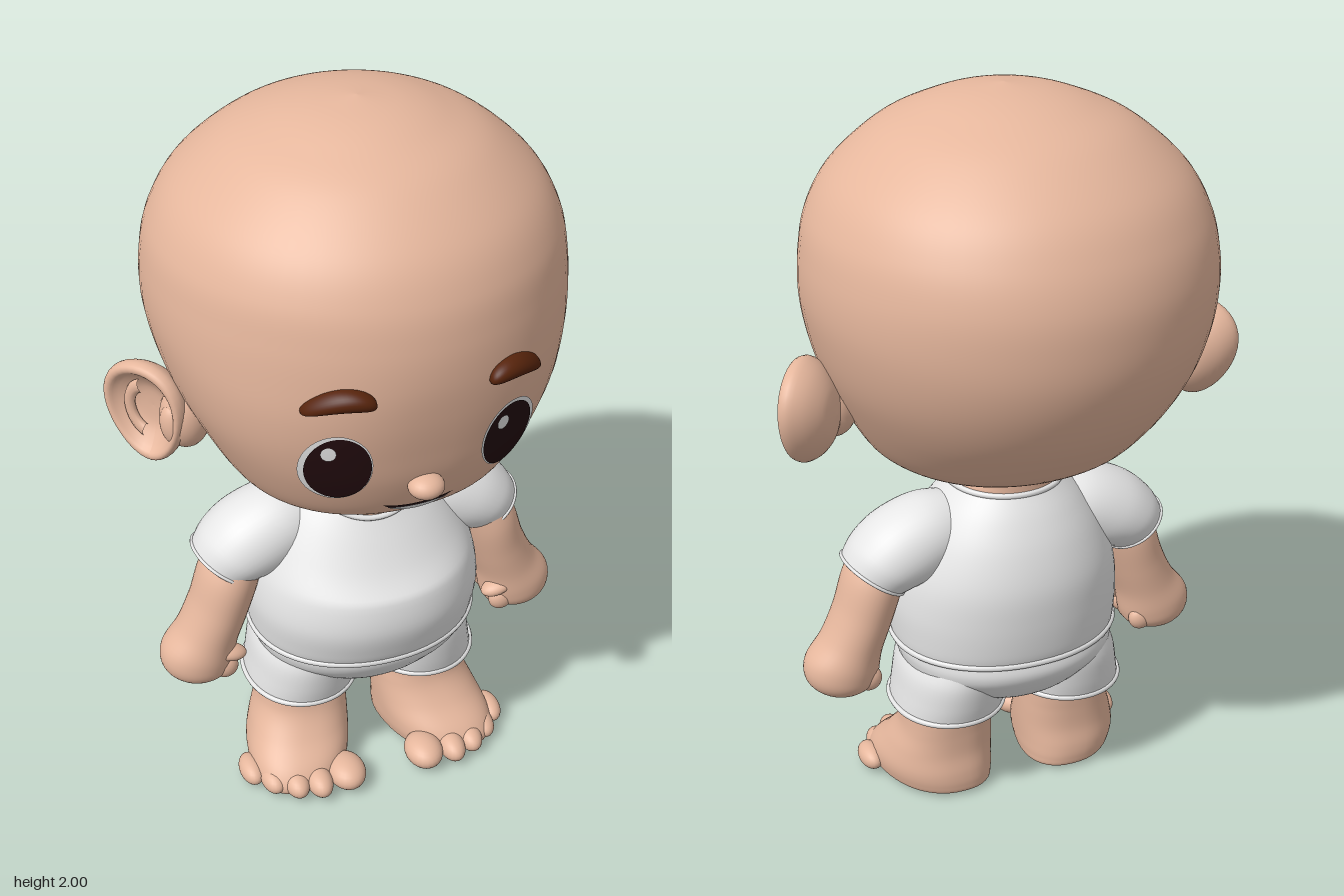
import * as THREE from 'three';

const mat = (name, color) => Object.assign(new THREE.MeshStandardMaterial({ color }), { name });

// Catmull-Rom interpolation of rows of numbers
function smooth(rows, steps) {
  const out = [], at = i => rows[Math.max(0, Math.min(rows.length - 1, i))];
  for (let i = 0; i < rows.length - 1; i++) {
    for (let s = 0; s < steps; s++) {
      const t = s / steps;
      out.push(rows[i].map((b, k) => {
        const a = at(i - 1)[k], c = at(i + 1)[k], d = at(i + 2)[k];
        return 0.5 * (2 * b + (c - a) * t + (2 * a - 5 * b + 4 * c - d) * t * t + (3 * b - a - 3 * c + d) * t * t * t);
      }));
    }
  }
  out.push(rows[rows.length - 1]);
  return out;
}

// Closed skin over cross-sections; place(row, angle) gives a point
function loft(rows, place, seg = 48, steps = 6) {
  const pos = [], idx = [], all = smooth(rows, steps);
  const ring = row => {
    const start = pos.length / 3;
    for (let j = 0; j < seg; j++) pos.push(...place(row, j / seg * Math.PI * 2).toArray());
    return start;
  };
  all.forEach(ring);
  for (let i = 0; i < all.length - 1; i++) {
    for (let j = 0; j < seg; j++) {
      const a = i * seg + j, b = i * seg + (j + 1) % seg;
      idx.push(a, a + seg, b, b, a + seg, b + seg);
    }
  }
  [all[0], all[all.length - 1]].forEach((row, end) => {
    const s = ring(row), c = pos.length / 3;
    const mid = place(row, 0).add(place(row, Math.PI)).multiplyScalar(0.5);
    pos.push(...mid.toArray());
    for (let j = 0; j < seg; j++) {
      const a = s + j, b = s + (j + 1) % seg;
      if (end) idx.push(c, b, a); else idx.push(c, a, b);
    }
  });
  const g = new THREE.BufferGeometry();
  g.setAttribute('position', new THREE.Float32BufferAttribute(pos, 3));
  g.setIndex(idx);
  g.computeVertexNormals();
  return g;
}

// Upright sections: row = [y, centre x, half width, front z, back z, optional squareness of the front]
const upright = (p = 2, bend = v => v) => ([y, cx, w, zf, zb, front = p], a) => {
  const c = Math.cos(a), s = Math.sin(a), e = 2 / (s > 0 ? front : p);
  return bend(new THREE.Vector3(
    cx + w * Math.sign(c) * Math.abs(c) ** e, y,
    (zf + zb) / 2 + (zf - zb) / 2 * Math.sign(s) * Math.abs(s) ** e));
};
// Limb sections: row = [x, y, radius across, radius in z, angle from straight down]
const limb = zc => ([x, y, r, rz, t], a) => new THREE.Vector3(
  x + r * Math.cos(a) * Math.cos(t), y + r * Math.cos(a) * Math.sin(t), zc - rz * Math.sin(a));

// Rolled edge following one cross-section
function hem(row, place, r) {
  const pts = Array.from({ length: 40 }, (_, i) => place(row, -i / 40 * Math.PI * 2));
  return new THREE.TubeGeometry(new THREE.CatmullRomCurve3(pts, true), 80, r, 8, true);
}
const ball = (x, y, z, rx, ry, rz) => new THREE.SphereGeometry(1, 24, 16).scale(rx, ry, rz).translate(x, y, z);

function warp(g, fn) {
  const p = g.attributes.position, v = new THREE.Vector3();
  for (let i = 0; i < p.count; i++) {
    fn(v.fromBufferAttribute(p, i));
    p.setXYZ(i, v.x, v.y, v.z);
  }
  g.computeVertexNormals();
  return g;
}
function mirrored(g) {
  const m = g.clone().scale(-1, 1, 1), ix = m.index.array;
  for (let i = 0; i < ix.length; i += 3) [ix[i], ix[i + 1]] = [ix[i + 1], ix[i]];
  return m;
}

export function createModel() {
  const model = new THREE.Group();
  const skin = mat('skin', 0xe6b79d), cloth = mat('white cloth', 0xe6e6e6), dark = mat('dark eye', 0x220b0e);
  const brown = mat('brow brown', 0x57240c), white = mat('eye white', 0xe8e8e8);
  const add = (name, g, m) => {
    const mesh = new THREE.Mesh(g, m);
    mesh.name = name;
    model.add(mesh);
  };
  const pair = (name, g, m) => {
    add(name + 'Left', g, m);
    add(name + 'Right', mirrored(g), m);
  };

  // Head: round on top, a little flatter across the face
  const headRows = [
    [0.963, 0, 0.002, 0.06, 0.056, 2], [0.967, 0, 0.12, 0.17, -0.06, 2], [0.98, 0, 0.2, 0.24, -0.13, 2.1],
    [1.005, 0, 0.27, 0.315, -0.2, 2.15], [1.05, 0, 0.34, 0.395, -0.285, 2.2], [1.1, 0, 0.382, 0.442, -0.35, 2.25],
    [1.2, 0, 0.437, 0.486, -0.442, 2.3], [1.3, 0, 0.483, 0.511, -0.503, 2.3], [1.4, 0, 0.513, 0.53, -0.54, 2.2],
    [1.5, 0, 0.53, 0.54, -0.553, 2.05], [1.6, 0, 0.527, 0.535, -0.548, 2], [1.7, 0, 0.505, 0.512, -0.515, 2],
    [1.8, 0, 0.447, 0.455, -0.45, 2], [1.9, 0, 0.333, 0.345, -0.33, 2], [1.955, 0, 0.22, 0.235, -0.21, 2],
    [1.985, 0, 0.12, 0.14, -0.1, 2], [2.0, 0, 0.002, 0.022, 0.018, 2]];
  const fine = smooth(headRows, 8);
  add('head', loft(headRows, upright(2), 72, 8), skin);
  // Depth of the face surface at x, y
  const faceZ = (x, y) => {
    const i = Math.max(1, fine.findIndex(r => r[0] >= y)), a = fine[i - 1], b = fine[i];
    const [, , w, zf, zb, p] = a.map((v, k) => v + (b[k] - v) * (y - a[0]) / (b[0] - a[0]));
    return (zf + zb) / 2 + (zf - zb) / 2 * Math.max(0, 1 - Math.abs(x / w) ** p) ** (1 / p);
  };
  const patch = (cx, cy, rx, ry, lift) => warp(new THREE.RingGeometry(0.001, 1, 48, 8), v => {
    v.set(cx + v.x * rx, cy + v.y * ry, 0);
    v.z = faceZ(v.x, v.y) + lift + 0.05 * (1.385 - v.y);
  });

  // Eyes
  pair('eyeWhite', patch(0.221, 1.281, 0.082, 0.105, 0.004), white);
  pair('pupil', patch(0.217, 1.281, 0.074, 0.099, 0.007), dark);
  for (const x of [0.192, -0.243]) add('eyeGlint', patch(x, 1.334, 0.017, 0.021, 0.01), white);

  // Brows: arched pads with blunt ends
  pair('brow', warp(new THREE.SphereGeometry(1, 32, 24).rotateZ(Math.PI / 2), v => {
    const u = v.x, full = (1 - u * u + 0.02) ** -0.15;
    const x = 0.221 + 0.08 * u, y = 1.493 - 0.024 * (u + 0.3) ** 2 + v.y * full * (0.027 - 0.004 * u);
    v.set(x, y, faceZ(x, y) + 0.004 + 0.036 * v.z * full);
  }), brown);

  // Nose and mouth
  add('nose', ball(0, 1.192, 0.497, 0.046, 0.031, 0.043), skin);
  const smile = (half, y0, top, bottom, lift) => warp(new THREE.PlaneGeometry(2, 1, 28, 3), v => {
    const k = 1 - v.x * v.x, t = 0.5 - v.y;
    v.set(v.x * half, y0 - k * (top + (bottom - top) * t), 0);
    v.z = faceZ(v.x, v.y) + lift;
  });
  add('mouth', smile(0.092, 1.123, 0.014, 0.042, 0.004), dark);
  add('teeth', smile(0.08, 1.113, 0.009, 0.029, 0.007), white);

  // Ears: thick egg-shaped bowl with inner ridge and front bump, turned to the side
  const setEar = g => g.rotateZ(-0.12).rotateY(0.9).translate(0.55, 1.224, 0);
  const profile = new THREE.SplineCurve([
    [0, -0.95], [0.45, -0.85], [0.8, -0.5], [0.99, -0.05], [0.96, 0.26], [0.84, 0.3], [0.7, 0.08], [0.4, -0.2], [0, -0.26],
  ].map(p => new THREE.Vector2(...p))).getPoints(32);
  profile.forEach(p => { p.x = Math.max(0, p.x); });
  pair('ear', setEar(warp(new THREE.LatheGeometry(profile, 40).rotateX(Math.PI / 2), v => {
    v.set(v.x * 0.118 * (1 + 0.2 * v.y), v.y * 0.142, v.z * 0.09);
  })), skin);
  pair('earRidge', setEar(new THREE.TorusGeometry(0.055, 0.015, 10, 28, 2.6).rotateZ(-1.2).scale(1, 1.25, 0.8)), skin);
  pair('earBump', setEar(ball(-0.075, -0.025, 0.005, 0.034, 0.055, 0.026)), skin);
  pair('earRoot', ball(0.465, 1.215, 0.04, 0.065, 0.09, 0.065), skin);

  // Neck and shirt; the neckline dips at the front
  const dip = v => {
    if (v.z > 0) v.y -= 1.5 * v.z * v.z * Math.max(0, 1 - Math.abs(v.y - 0.94) / 0.25);
    return v;
  };
  const torso = upright(2.1, dip);
  add('neck', loft([[0.915, 0, 0.153, 0.197, -0.127], [0.946, 0, 0.151, 0.192, -0.127],
    [0.97, 0, 0.138, 0.162, -0.128], [1.04, 0, 0.13, 0.15, -0.13]], torso), skin);
  const shirtRows = [[0.47, 0, 0.312, 0.308, -0.222], [0.51, 0, 0.318, 0.325, -0.232], [0.6, 0, 0.322, 0.345, -0.24],
    [0.7, 0, 0.305, 0.328, -0.238], [0.8, 0, 0.262, 0.282, -0.211], [0.88, 0, 0.21, 0.24, -0.172],
    [0.94, 0, 0.155, 0.2, -0.13]];
  add('shirt', loft(shirtRows, torso, 64), cloth);
  add('collar', hem(shirtRows[6], torso, 0.008), cloth);
  add('shirtHem', hem([0.477, 0, 0.314, 0.311, -0.224], torso, 0.009), cloth);

  // Sleeves, arms and fists
  const sleeveRows = [[0.1, 0.8, 0.1, 0.09, 1.5], [0.2, 0.81, 0.112, 0.118, 1.25], [0.287, 0.78, 0.118, 0.13, 0.95],
    [0.347, 0.745, 0.108, 0.126, 0.7], [0.383, 0.712, 0.094, 0.11, 0.6]];
  pair('sleeve', loft(sleeveRows, limb(0.02), 40), cloth);
  pair('sleeveHem', hem(sleeveRows[4], limb(0.02), 0.005), cloth);
  pair('arm', loft([[0.33, 0.77, 0.065, 0.08, 0.6], [0.376, 0.68, 0.082, 0.1, 0.5], [0.41, 0.58, 0.081, 0.098, 0.4],
    [0.443, 0.5, 0.086, 0.095, 0.33], [0.472, 0.435, 0.104, 0.097, 0.28], [0.48, 0.39, 0.094, 0.088, 0.15],
    [0.477, 0.36, 0.055, 0.055, 0.05], [0.475, 0.35, 0.002, 0.002, 0]], limb(0.043), 40), skin);
  pair('thumb', ball(0, 0, 0, 0.048, 0.022, 0.032).rotateZ(0.25).translate(0.398, 0.448, 0.1), skin);
  for (let i = 0; i < 4; i++) pair('finger', ball(0.412, 0.402, 0.1 - i * 0.036, 0.036, 0.036, 0.026), skin);

  // Shorts
  add('shortsSeat', loft([[0.288, 0, 0.01, 0.04, 0.02], [0.3, 0, 0.1, 0.13, -0.09], [0.34, 0, 0.2, 0.22, -0.165],
    [0.4, 0, 0.285, 0.272, -0.213], [0.44, 0, 0.305, 0.295, -0.228], [0.48, 0, 0.308, 0.3, -0.22]], upright(2.15), 64), cloth);
  const cuff = [0.277, 0.177, 0.155, 0.205, -0.152];
  pair('shortsLeg', loft([cuff, [0.33, 0.172, 0.15, 0.216, -0.165], [0.4, 0.164, 0.143, 0.225, -0.175],
    [0.46, 0.15, 0.125, 0.225, -0.17]], upright(2.1)), cloth);
  pair('shortsHem', hem([0.281, ...cuff.slice(1)], upright(2.1), 0.008), cloth);

  // Legs and feet with softly rounded soles, turned slightly outward
  const turnOut = v => {
    v.x += 0.22 * v.z * Math.max(0, 1 - v.y / 0.2);
    return v;
  };
  pair('legAndFoot', loft([[0, 0.185, 0.002, 0.092, 0.088], [0.003, 0.185, 0.09, 0.2, -0.04],
    [0.009, 0.187, 0.135, 0.262, -0.086], [0.035, 0.191, 0.147, 0.277, -0.096],
    [0.075, 0.193, 0.149, 0.255, -0.096], [0.13, 0.188, 0.142, 0.2, -0.088], [0.19, 0.18, 0.131, 0.16, -0.088],
    [0.25, 0.177, 0.126, 0.146, -0.091], [0.33, 0.175, 0.124, 0.145, -0.091]], upright(2.3, turnOut)), skin);
  [[0.118, 0.258, 0.054, 0.041], [0.202, 0.264, 0.037, 0.036], [0.264, 0.244, 0.036, 0.035],
    [0.32, 0.204, 0.035, 0.034], [0.366, 0.15, 0.034, 0.033]].forEach(([x, z, r, h]) =>
    pair('toe', ball(x, h + 0.002, z, r, h, r * 0.5 + 0.042), skin));

  return model;
}
